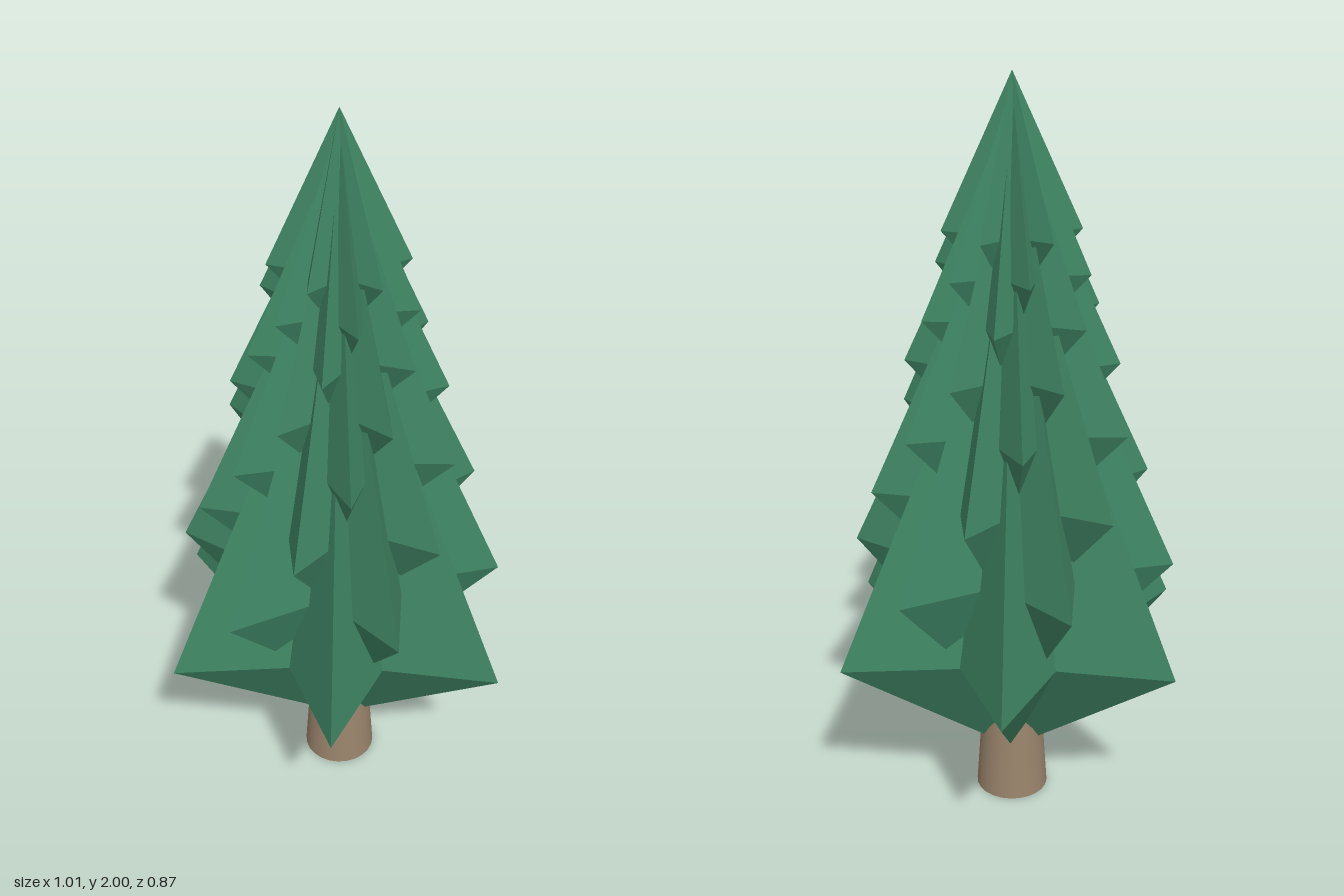
import * as THREE from 'three';

const TIERS = 8, POINTS = 6, SHRINK = 0.86;
const green = new THREE.MeshStandardMaterial({ color: 0x3f8463, flatShading: true });
const brown = new THREE.MeshStandardMaterial({ color: 0x9a846c });

// Star-shaped double pyramid: a flat star ring joined to a peak above and one below
function starTier(radius, up, down) {
  const n = POINTS * 2;
  const corner = (i) => {
    const a = (i / n) * Math.PI * 2;
    const r = i % 2 ? radius / 2 : radius;
    return [Math.cos(a) * r, 0, -Math.sin(a) * r];
  };
  const pos = [];
  for (let i = 0; i < n; i++) {
    const a = corner(i), b = corner((i + 1) % n);
    pos.push(...a, ...b, 0, up, 0);
    pos.push(...b, ...a, 0, -down, 0);
  }
  const geo = new THREE.BufferGeometry();
  geo.setAttribute('position', new THREE.Float32BufferAttribute(pos, 3));
  geo.computeVertexNormals();
  return geo;
}

export function createModel() {
  const tree = new THREE.Group();
  tree.name = 'tree';

  // Tapered trunk, its top hidden inside the lowest tier
  const trunk = new THREE.Mesh(new THREE.CylinderGeometry(0.08, 0.1, 0.3, 24), brown);
  trunk.name = 'trunk';
  trunk.position.y = 0.15;
  tree.add(trunk);

  // Foliage: each tier is smaller, higher and turned a little further
  const foliage = new THREE.Group();
  foliage.name = 'foliage';
  let y = 0.495, step = 0.241;
  for (let k = 0; k < TIERS; k++) {
    const s = SHRINK ** k;
    const radius = 0.505 * s;
    const down = k === 0 ? 0.385 : radius * 1.12;
    const up = k === TIERS - 1 ? 2 - y : 1.1 * s;
    const tier = new THREE.Mesh(starTier(radius, up, down), green);
    tier.name = `foliageTier${k + 1}`;
    tier.position.y = y;
    tier.rotation.y = (k * Math.PI) / 8;
    foliage.add(tier);
    y += step;
    step *= SHRINK;
  }
  tree.add(foliage);
  return tree;
}
